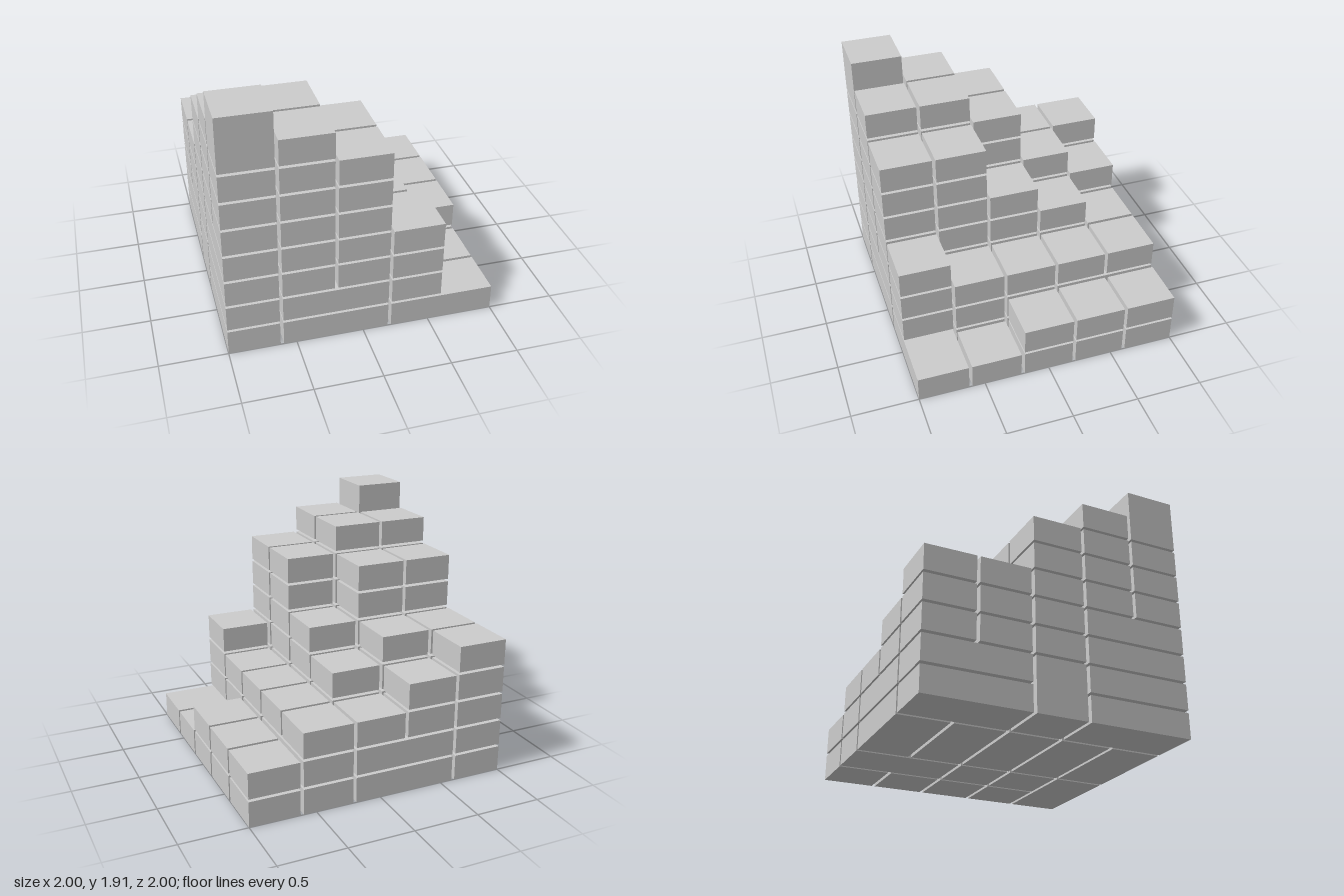
import * as THREE from 'three';

// Brick grid: five by five columns of stacked blocks with narrow joints
const PITCH = 0.405, SIZE = 0.38;    // horizontal spacing and block width
const RISE = 0.214, HEIGHT = 0.194;  // layer spacing and block height

// Number of layers per column: rows run back to front, entries from -x to +x
const LAYERS = [
  [5, 4, 3, 3, 2],
  [5, 5, 4, 3, 2],
  [7, 7, 5, 3, 2],
  [8, 8, 7, 3, 1],
  [9, 8, 7, 4, 1],
];

// Long and tall blocks: [x, layer, z, cells in x, layers, cells in z]
const MERGED = [
  [0, 0, 2, 1, 2, 1], // tall block low in the left wall
  [0, 7, 4, 1, 2, 1], // tall corner cap
  [3, 0, 4, 2, 1, 1], // long front step
];
for (const layer of [0, 1]) {
  for (let z = 0; z < 5; z++) MERGED.push([1, layer, z, 2, 1, 1]);
  MERGED.push([0, layer, 0, 1, 1, 2], [3, layer, 0, 1, 1, 2]);
}
for (let layer = 0; layer < 4; layer++) MERGED.push([0, layer, 3, 1, 1, 2]);

export function createModel() {
  const model = new THREE.Group();
  model.name = 'steppedBlockStack';
  const material = new THREE.MeshStandardMaterial({ color: 0xcccccc, flatShading: true });
  const layerGroups = Array.from({ length: 9 }, (_, k) => {
    const group = new THREE.Group();
    group.name = `layer${k + 1}`;
    model.add(group);
    return group;
  });
  const used = new Set();

  // Places one block and marks the cells it fills
  function addBlock(name, x, y, z, nx = 1, ny = 1, nz = 1) {
    const w = (nx - 1) * PITCH + SIZE;
    const h = (ny - 1) * RISE + HEIGHT;
    const d = (nz - 1) * PITCH + SIZE;
    const block = new THREE.Mesh(new THREE.BoxGeometry(w, h, d), material);
    block.name = name;
    block.position.set(-1 + x * PITCH + w / 2, y * RISE + h / 2, -1 + z * PITCH + d / 2);
    layerGroups[y].add(block);
    for (let i = 0; i < nx; i++)
      for (let j = 0; j < ny; j++)
        for (let k = 0; k < nz; k++) used.add(`${x + i},${y + j},${z + k}`);
  }

  // Merged blocks first, then single blocks in the remaining cells
  for (const m of MERGED) addBlock(m[4] > 1 ? 'tallBlock' : 'longBlock', ...m);
  LAYERS.forEach((row, z) => row.forEach((count, x) => {
    for (let y = 0; y < count; y++)
      if (!used.has(`${x},${y},${z}`)) addBlock('block', x, y, z);
  }));

  return model;
}
